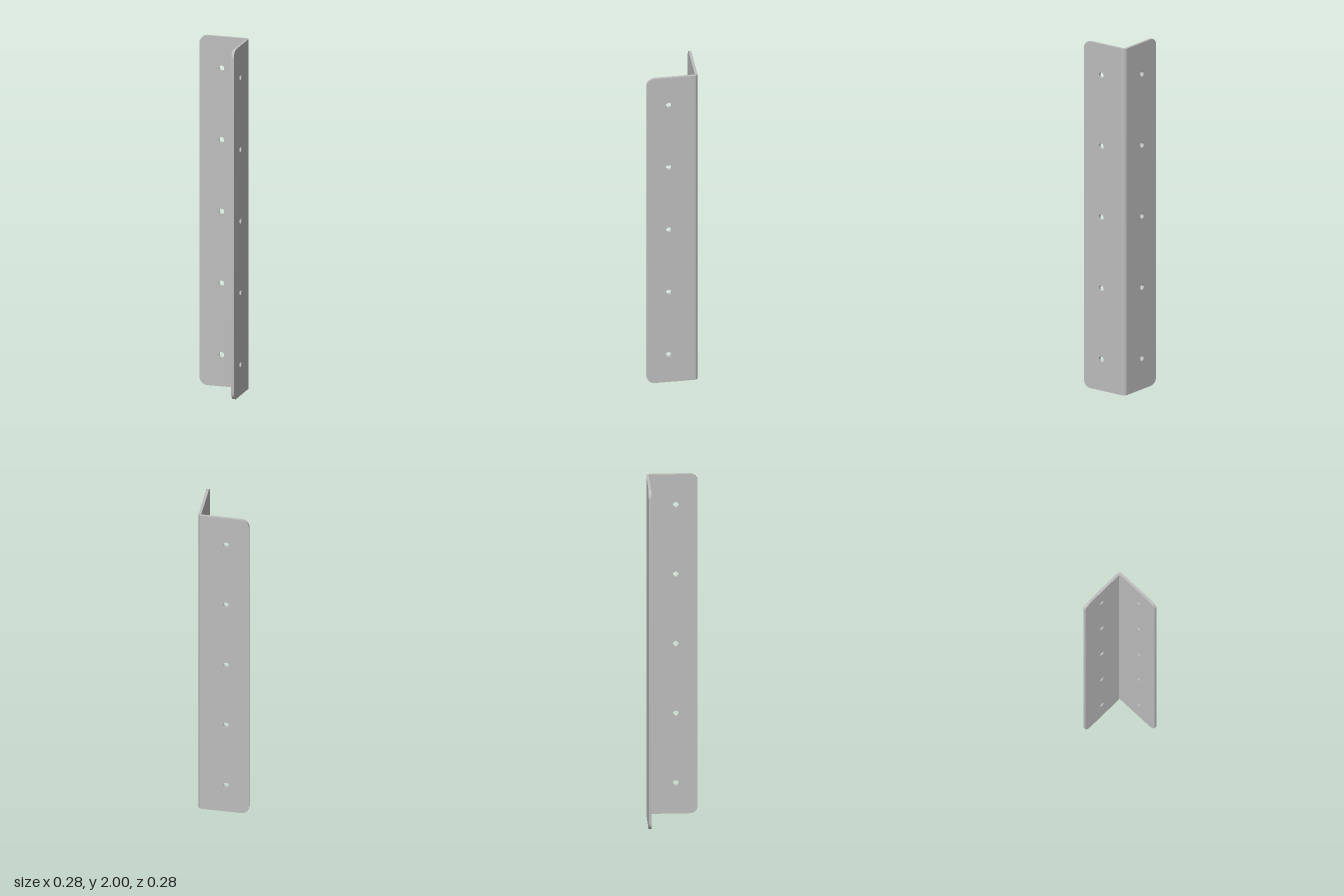
import * as THREE from 'three';
import { toCreasedNormals } from 'three/addons/utils/BufferGeometryUtils.js';

const HEIGHT = 2, HALF = 0.142, THICK = 0.015;
const BEND = 0.02;          // outer radius of the bend
const CORNER = 0.045;       // rounded free corners
const HOLE = 0.016;
const HOLE_HEIGHTS = [0.18, 0.59, 1, 1.41, 1.82];

const steel = new THREE.MeshStandardMaterial({ color: 0xbebebe });
steel.name = 'steel';

function extrude(shape, depth) {
  const geo = new THREE.ExtrudeGeometry(shape, { depth, bevelEnabled: false, curveSegments: 12 });
  return toCreasedNormals(geo, 0.6);
}

// Flat leaf running from the bend to the free edge, with a column of holes
function flange(name, holeOffset) {
  const s = new THREE.Shape();
  s.moveTo(BEND - HALF, 0);
  s.lineTo(HALF - CORNER, 0);
  s.absarc(HALF - CORNER, CORNER, CORNER, -Math.PI / 2, 0, false);
  s.absarc(HALF - CORNER, HEIGHT - CORNER, CORNER, 0, Math.PI / 2, false);
  s.lineTo(BEND - HALF, HEIGHT);
  s.closePath();
  for (const y of HOLE_HEIGHTS) {
    s.holes.push(new THREE.Path().absarc(holeOffset, y, HOLE, 0, Math.PI * 2, true));
  }
  const mesh = new THREE.Mesh(extrude(s, THICK), steel);
  mesh.name = name;
  return mesh;
}

export function createModel() {
  const group = new THREE.Group();
  group.name = 'angleBracket';

  const back = flange('backFlange', 0.015);
  back.rotation.y = Math.PI;
  back.position.z = THICK - HALF;

  const side = flange('sideFlange', 0.021);
  side.rotation.y = -Math.PI / 2;
  side.position.x = HALF;

  // Quarter-round bend joining the two leaves
  const arc = new THREE.Shape();
  arc.absarc(0, 0, BEND, 0, Math.PI / 2, false);
  arc.absarc(0, 0, BEND - THICK, Math.PI / 2, 0, true);
  arc.closePath();
  const bend = new THREE.Mesh(extrude(arc, HEIGHT), steel);
  bend.name = 'bend';
  bend.rotation.x = -Math.PI / 2;
  bend.position.set(HALF - BEND, 0, BEND - HALF);

  group.add(back, side, bend);
  return group;
}
